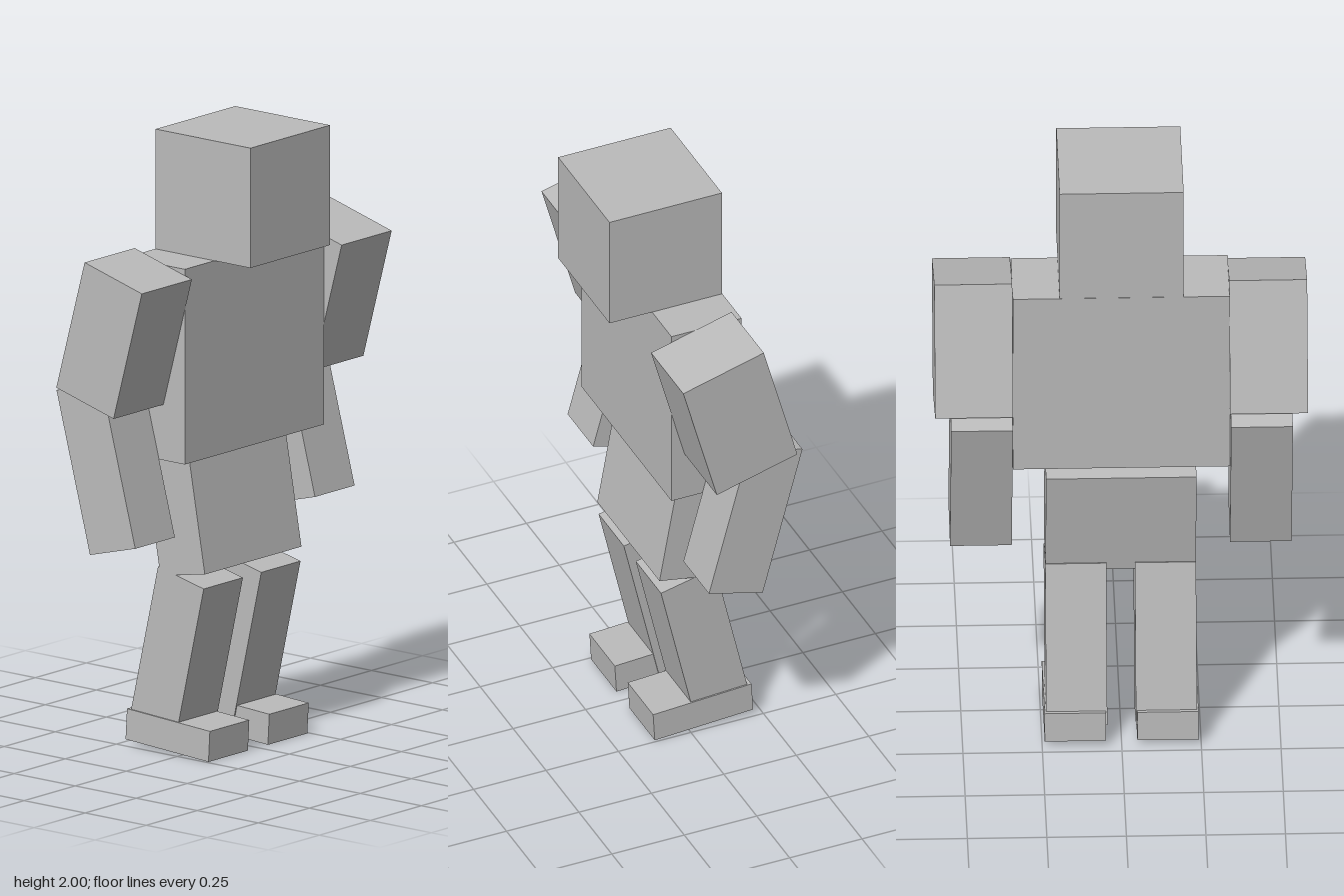
import * as THREE from 'three';

const grey = new THREE.MeshStandardMaterial({ color: 0xbababa });
grey.name = 'grey';

// Box from x0 to x1, pivoting on its lower front edge at height y and depth z.
// Positive pitch leans the top forward.
function block(name, x0, x1, y, z, height, depth, pitch = 0) {
  const geometry = new THREE.BoxGeometry(x1 - x0, height, depth);
  geometry.translate(0, height / 2, -depth / 2);
  const mesh = new THREE.Mesh(geometry, grey);
  mesh.name = name;
  mesh.position.set((x0 + x1) / 2, y, z);
  mesh.rotation.x = THREE.MathUtils.degToRad(pitch);
  return mesh;
}

// Same block placed on the left (+x) or right (-x) side
function sideBlock(side, name, inner, outer, ...rest) {
  const label = (side > 0 ? 'left' : 'right') + name;
  return side > 0 ? block(label, inner, outer, ...rest) : block(label, -outer, -inner, ...rest);
}

export function createModel() {
  const model = new THREE.Group();
  model.name = 'blockFigure';

  // Head, torso and hips
  model.add(
    block('head', -0.197, 0.193, 1.612, 0.255, 0.388, 0.388),
    block('torso', -0.342, 0.34, 0.98, 0.108, 0.632, 0.242),
    block('hips', -0.237, 0.236, 0.603, 0.102, 0.385, 0.185, -10)
  );

  for (const side of [1, -1]) {
    // The right upper arm is a little slimmer at the front
    const shoulder = side > 0 ? [1.148, 0.063, 0.439, 0.288] : [1.16, 0.02, 0.439, 0.243];
    model.add(
      sideBlock(side, 'UpperArm', 0.341, 0.586, ...shoulder, 15.3),
      sideBlock(side, 'Forearm', 0.343, 0.537, 0.738, 0.068, 0.53, 0.192, -15),
      sideBlock(side, 'Leg', 0.045, 0.237, 0.03, -0.023, 0.539, 0.192, 12.9),
      sideBlock(side, 'Foot', 0.049, 0.242, 0, 0.121, 0.1, 0.34, 3.3)
    );
  }
  return model;
}
